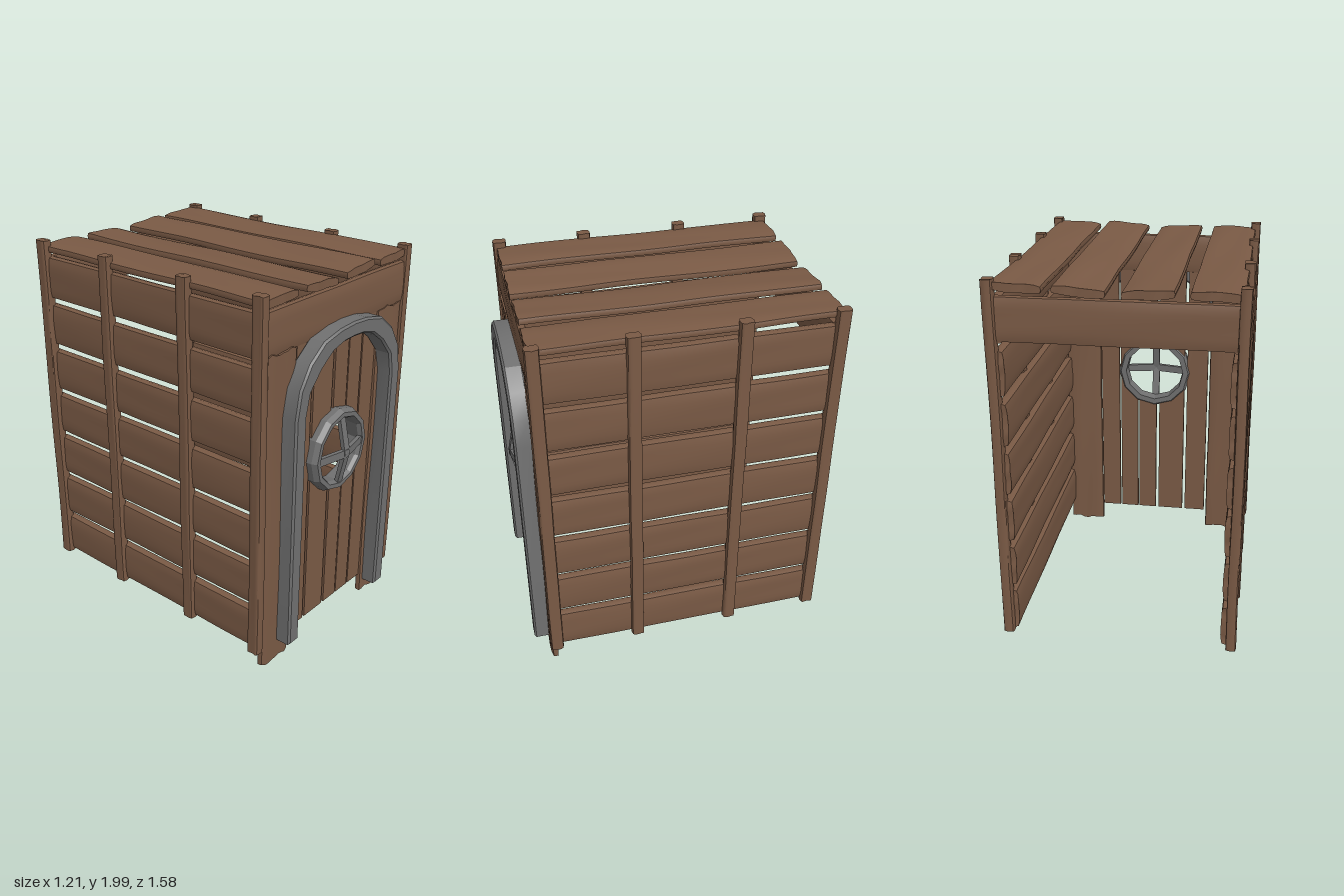
import * as THREE from 'three';
import { toCreasedNormals } from 'three/addons/utils/BufferGeometryUtils.js';

const wood = new THREE.MeshStandardMaterial({ color: 0x7a5a45 });
wood.name = 'wood';
const iron = new THREE.MeshStandardMaterial({ color: 0x707070 });
iron.name = 'grey metal';

let seed = 0;

// Smooth repeatable wobble in the range -1..1
const wave = (a, b, s) => 0.6 * Math.sin(a + s * 2.4) + 0.4 * Math.sin(b + s * 5.1);

// Rough-hewn board: a box with pillowed edges, slightly wavy faces and ragged ends
function board(size, { rough = 0.005, ragged = 0.005, pillow = 0.3 } = {}) {
  const [thin, wide, long] = [0, 1, 2].sort((a, b) => size[a] - size[b]);
  const segs = [];
  segs[thin] = 2;
  segs[wide] = 8;
  segs[long] = 14;
  const g = new THREE.BoxGeometry(...size, ...segs);
  const p = g.attributes.position;
  const s = ++seed;
  for (let i = 0; i < p.count; i++) {
    const v = [p.getX(i), p.getY(i), p.getZ(i)];
    const [t, w, l] = [thin, wide, long].map((k) => v[k] / size[k] * 2);
    v[thin] *= 1 - pillow * w ** 4;
    v[wide] -= Math.sign(w) * size[thin] * 0.1 * w ** 6 * t * t;
    v[thin] += rough * 0.6 * wave(l * 5, w * 4 + l * 3, s);
    v[wide] += rough * 0.25 * w * wave(l * 6, l * 11, s + w);
    if (Math.abs(l) > 0.99) v[long] += ragged * wave(w * 5, w * 9 + t, s + l);
    p.setXYZ(i, ...v);
  }
  return toCreasedNormals(g, 0.6);
}

function add(parent, name, geometry, material, x = 0, y = 0, z = 0) {
  const m = new THREE.Mesh(geometry, material);
  m.name = name;
  m.position.set(x, y, z);
  parent.add(m);
  return m;
}

function addGroup(parent, name) {
  const g = new THREE.Group();
  g.name = name;
  parent.add(g);
  return g;
}

// Side walls: seven thick horizontal planks held by four posts
function buildWalls(root) {
  for (const side of [1, -1]) {
    const wall = addGroup(root, side > 0 ? 'leftWall' : 'rightWall');
    for (const z of [0.69, 0.24, -0.283, -0.752])
      add(wall, 'post', board([0.052, 1.868, 0.07], { ragged: 0.002, pillow: 0.15 }), wood, side * 0.575, 1.065, z);
    for (let i = 0; i < 7; i++)
      add(wall, 'wallPlank', board([0.056, 0.222, 1.43], { rough: 0.004, pillow: 0.25 }), wood,
        side * 0.55, 0.254 + i * 0.2583, -0.035);
  }
}

// Roof: four lengthwise planks, each tipped a little, over two headers
function buildRoof(root) {
  const roof = addGroup(root, 'roof');
  const planks = [[-0.452, 1.955, 0.02], [-0.147, 1.95, -0.06], [0.164, 1.956, 0.08], [0.449, 1.96, 0.04]];
  for (const [x, y, tilt] of planks)
    add(roof, 'roofPlank', board([0.242, 0.042, 1.475], { rough: 0.007, ragged: 0.004 }), wood,
      x, y, -0.03).rotation.z = tilt;
  for (const [name, z] of [['frontHeader', 0.69], ['backHeader', -0.735]])
    add(roof, name, board([1.1, 0.22, 0.05], { rough: 0.003, ragged: 0 }), wood, 0, 1.81, z);
}

// Door planks are cut around the round window
function buildDoor(root) {
  const door = addGroup(root, 'door');
  const cy = 1.07, R = 0.195;
  const spans = [[-0.325, -0.2], [-0.183, -0.028], [-0.01, 0.098], [0.106, 0.212], [0.222, 0.333]];
  for (const [x0, x1] of spans) {
    for (const [edge, dir] of [[0.13, -1], [1.71, 1]]) {
      const shape = new THREE.Shape();
      shape.moveTo(x0, edge);
      for (let i = 0; i <= 8; i++) {
        const x = x0 + (x1 - x0) * i / 8;
        shape.lineTo(x, cy + dir * Math.sqrt(Math.max(0, R * R - x * x)));
      }
      shape.lineTo(x1, edge);
      const g = new THREE.ExtrudeGeometry(shape, { depth: 0.024, bevelEnabled: false });
      add(door, 'doorPlank', g, wood, 0, 0, 0.68);
    }
  }
  for (const side of [1, -1])
    add(root, 'doorSideBoard', board([0.212, 1.69, 0.038], { rough: 0.006, ragged: 0.01 }), wood,
      side * 0.443, 0.865, 0.697);
}

// Metal arch around the door
function buildArch(root) {
  const outer = [[0.438, 1.39], [0.412, 1.53], [0.343, 1.64], [0.238, 1.72], [0.11, 1.748]];
  const inner = [[0.358, 1.39], [0.333, 1.5], [0.25, 1.593], [0.165, 1.653], [0.08, 1.676]];
  const flip = (list) => list.map(([x, y]) => [-x, y]);
  const outline = [
    [0.438, 0.088], ...outer, [0, 1.755], ...flip(outer).reverse(), [-0.438, 0.13],
    [-0.358, 0.13], ...flip(inner), [0, 1.68], ...inner.slice().reverse(), [0.358, 0.088],
  ];
  const shape = new THREE.Shape(outline.map(([x, y]) => new THREE.Vector2(x, y)));
  const g = new THREE.ExtrudeGeometry(shape, {
    depth: 0.076, bevelThickness: 0.01, bevelSize: 0.01, bevelOffset: -0.01, bevelSegments: 1,
  });
  add(root, 'doorArch', toCreasedNormals(g, 0.4), iron, 0.005, 0, 0.71);
}

// Round window: faceted ring and a cross of bars bowed outward
function buildWindow(root) {
  const win = addGroup(root, 'roundWindow');
  win.position.set(0.003, 1.07, 0);
  const profile = [[0.176, 0.67], [0.208, 0.67], [0.223, 0.69], [0.223, 0.735], [0.208, 0.762],
    [0.184, 0.762], [0.172, 0.742], [0.176, 0.67]];
  const ring = new THREE.LatheGeometry(profile.map(([r, y]) => new THREE.Vector2(r, y)), 12);
  ring.rotateX(Math.PI / 2);
  add(win, 'windowRing', toCreasedNormals(ring, 0.4), iron);
  for (const turn of [0, Math.PI / 2]) {
    const bar = new THREE.BoxGeometry(0.37, 0.042, 0.022, 8, 1, 1);
    const p = bar.attributes.position;
    for (let i = 0; i < p.count; i++) p.setZ(i, p.getZ(i) + 0.04 * (1 - Math.abs(p.getX(i)) / 0.185));
    add(win, 'windowBar', toCreasedNormals(bar, 0.4), iron, 0, -0.005, 0.745).rotation.z = turn;
  }
}

export function createModel() {
  seed = 0;
  const root = new THREE.Group();
  root.name = 'woodenShed';
  buildWalls(root);
  buildRoof(root);
  buildDoor(root);
  buildArch(root);
  buildWindow(root);
  return root;
}
